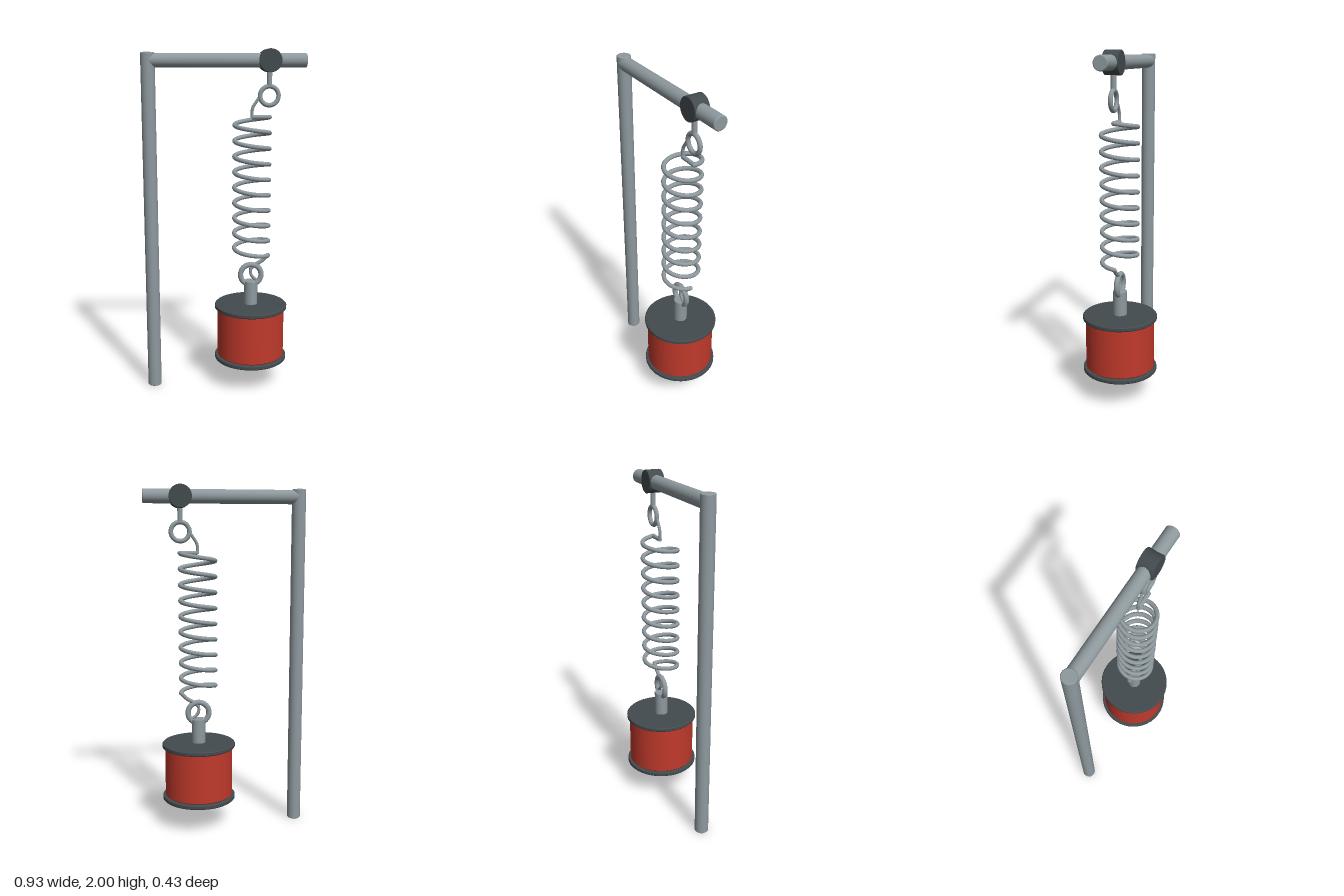
import * as THREE from 'three';

const steel = new THREE.MeshStandardMaterial({ color: 0x8e999e });
steel.name = 'steel grey';
const dark = new THREE.MeshStandardMaterial({ color: 0x434b4e });
dark.name = 'dark grey';
const red = new THREE.MeshStandardMaterial({ color: 0xc0392b });
red.name = 'red';

const AXIS = 0.158; // x of the spring and weight
const CLAMP = 0.255; // x of the clamp and its eye
const BEAM_Y = 1.935;

const V = (x, y, z = 0) => new THREE.Vector3(x, y, z);

// Helical path running down from yTop, starting on the +x side
class Helix extends THREE.Curve {
  constructor(radius, yTop, yBottom, turns) {
    super();
    Object.assign(this, { radius, yTop, yBottom, turns });
  }
  getPoint(t, target = new THREE.Vector3()) {
    const a = t * this.turns * Math.PI * 2;
    return target.set(
      AXIS + this.radius * Math.cos(a),
      THREE.MathUtils.lerp(this.yTop, this.yBottom, t),
      -this.radius * Math.sin(a)
    );
  }
}

export function createModel() {
  const group = new THREE.Group();

  const add = (name, geometry, material, x = 0, y = 0, z = 0) => {
    const mesh = new THREE.Mesh(geometry, material);
    mesh.name = name;
    mesh.position.set(x, y, z);
    group.add(mesh);
    return mesh;
  };

  // Cylinder with slightly chamfered rims, centred on its own axis
  const rod = (r, h, b = 0.004, segments = 40) => {
    const ring = (r0, y0, r1, y1) => [new THREE.Vector2(r0, y0), new THREE.Vector2(r1, y1)];
    const k = h / 2;
    const e = 0.0003; // tight loops keep the rims crisp
    return new THREE.LatheGeometry([
      ...ring(0, -k, r - b - e, -k),
      ...ring(r - b, -k, r, -k + b),
      ...ring(r, -k + b + e, r, k - b - e),
      ...ring(r, k - b, r - b, k),
      ...ring(r - b - e, k, 0, k),
    ], segments);
  };

  const wire = (points, r) =>
    new THREE.TubeGeometry(new THREE.CatmullRomCurve3(points, false, 'centripetal'), 40, r, 10);

  // Stand
  add('post', rod(0.04, 1.975), steel, -0.428, 0.992);
  add('beam', rod(0.04, 0.893), steel, 0.0185, BEAM_Y).rotation.z = -Math.PI / 2;

  // Clamp and its hanging eye
  add('clamp', rod(0.065, 0.09, 0.002), dark, CLAMP, BEAM_Y).rotation.x = Math.PI / 2;
  add('eyeStem', new THREE.CylinderGeometry(0.015, 0.015, 0.1, 20), steel, CLAMP, 1.845);
  add('clampEye', new THREE.TorusGeometry(0.053, 0.013, 14, 40), steel, CLAMP, 1.74);

  // Spring coil with wire hooks at both ends
  add('springCoil', new THREE.TubeGeometry(new Helix(0.101, 1.62, 0.805, 9), 400, 0.0125, 12), steel);
  add('springTopArm', new THREE.CylinderGeometry(0.0125, 0.0125, 0.104, 12), steel, AXIS + 0.052, 1.62)
    .rotation.z = Math.PI / 2;
  add('topHook', wire([V(AXIS, 1.615), V(AXIS + 0.002, 1.67), V(0.18, 1.705), V(0.205, 1.74)], 0.009), steel);
  add('bottomArm', wire([V(AXIS + 0.101, 0.805), V(0.225, 0.772), V(0.175, 0.742), V(AXIS, 0.725)], 0.0115), steel);
  add('bottomHook', wire([V(AXIS, 0.74), V(AXIS, 0.69), V(0.175, 0.665), V(0.205, 0.645)], 0.009), steel);
  for (const y of [1.62, 0.805]) {
    add('wireEnd', new THREE.SphereGeometry(0.0125, 12, 8), steel, AXIS + 0.101, y);
  }

  // Weight: ring, stem, drum and two flanges
  add('weightRing', new THREE.TorusGeometry(0.062, 0.016, 14, 40), steel, AXIS, 0.686);
  add('weightStem', rod(0.04, 0.16, 0.003), steel, AXIS, 0.57);
  add('drum', rod(0.2, 0.3, 0.008, 48), red, AXIS, 0.335);
  for (const y of [0.175, 0.493]) {
    add('flange', rod(0.216, 0.026, 0.005, 48), dark, AXIS, y);
  }

  return group;
}
